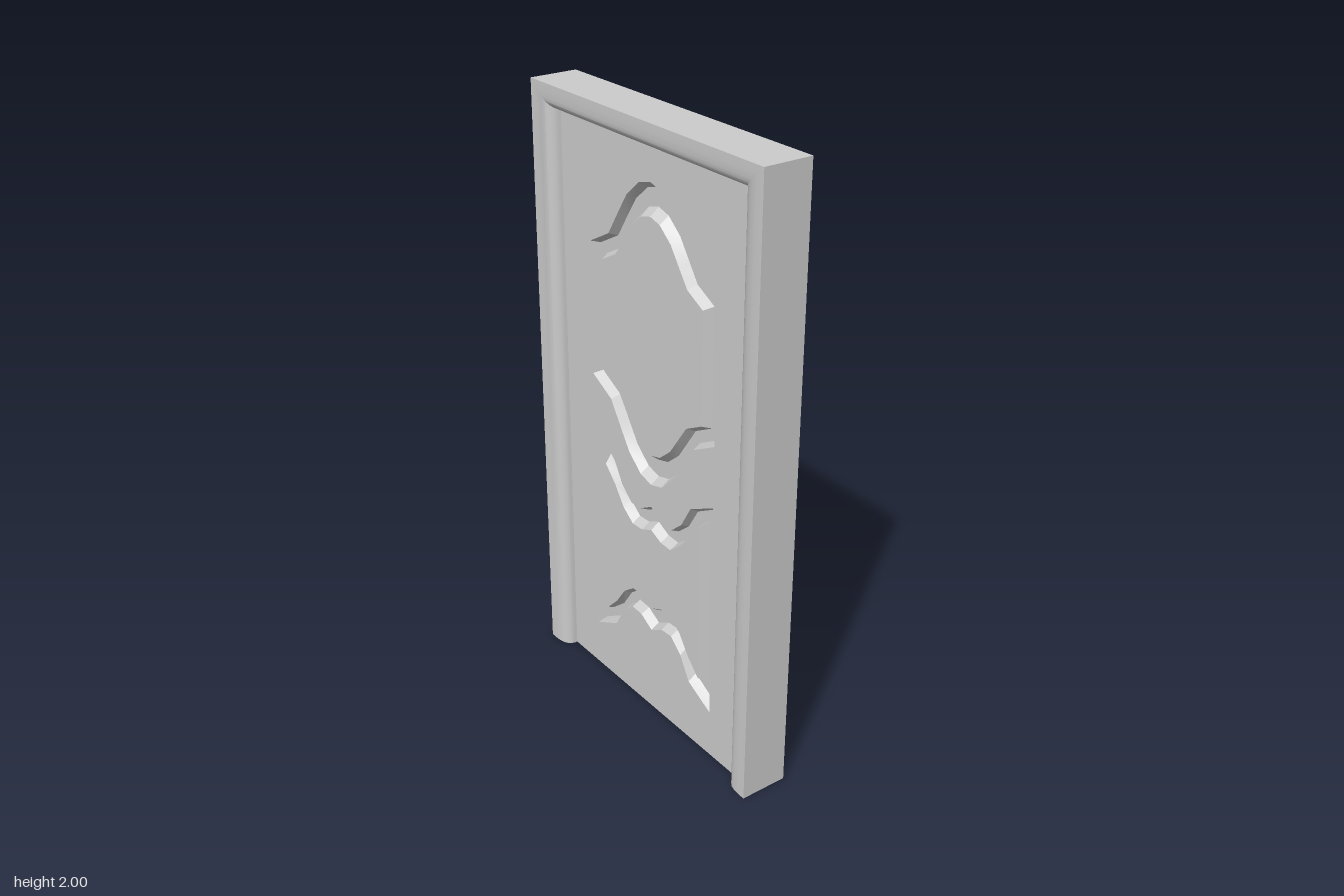
import * as THREE from 'three';
import { toCreasedNormals } from 'three/addons/utils/BufferGeometryUtils.js';

const HALF_W = 0.54, HEIGHT = 2, HALF_D = 0.08;
const JAMB = 0.09, HEAD = 0.08;          // frame width at the sides and on top
const PANEL_Z = 0.035, GROOVE_Z = 0.005; // door sheet and bottom of its grooves

const material = new THREE.MeshStandardMaterial({ color: 0xcccccc, side: THREE.DoubleSide });

function addMesh(parent, name, geometry) {
  const mesh = new THREE.Mesh(geometry, material);
  mesh.name = name;
  parent.add(mesh);
}

// Surface through rows of matching points
function loft(rows, closed, crease) {
  const pos = [];
  const n = rows[0].length;
  for (let r = 0; r < rows.length - 1; r++) {
    for (let i = 0; i < (closed ? n : n - 1); i++) {
      const j = (i + 1) % n;
      const a = rows[r][i], b = rows[r][j], c = rows[r + 1][j], d = rows[r + 1][i];
      pos.push(...a, ...b, ...c, ...a, ...c, ...d);
    }
  }
  const g = new THREE.BufferGeometry();
  g.setAttribute('position', new THREE.Float32BufferAttribute(pos, 3));
  g.computeVertexNormals();
  return toCreasedNormals(g, crease);
}

// Moulded frame: one section carried up, across and down with mitred corners
function frameGeometry() {
  const section = [ // [share of the frame width, z]
    [0, -HALF_D], [0, HALF_D], [0.3, HALF_D], [0.55, 0.078], [0.72, 0.074],
    [0.86, 0.066], [0.95, 0.056], [1, 0.045], [1, -HALF_D],
  ];
  const stations = [[-1, 0], [-1, 1], [1, 1], [1, 0]];
  const rows = stations.map(([side, top]) => section.map(([t, z]) =>
    [side * (HALF_W - t * JAMB), top * (HEIGHT - t * HEAD), z]));
  return loft(rows, true, 0.5);
}

// Full counter-clockwise outline from its upper right quarter (side to middle)
function mirrorOutline(quarter, midY) {
  const top = [...quarter, ...quarter.slice(0, -1).reverse().map(([x, y]) => [-x, y])];
  return [...top, ...top.map(([x, y]) => [-x, 2 * midY - y])];
}

const blend = (a, b, t) => a.map((p, i) => p.map((v, k) => v + (b[i][k] - v) * t));
const toShape = (pts) => new THREE.Shape(pts.map(([x, y]) => new THREE.Vector2(x, y)));

const ornaments = [
  {
    name: 'upperPanel', midY: 1.328,
    outer: [[0.308, 1.548], [0.21, 1.6], [0.165, 1.67], [0.115, 1.745], [0.055, 1.797], [0, 1.812]],
    inner: [[0.246, 1.508], [0.175, 1.545], [0.138, 1.597], [0.097, 1.655], [0.045, 1.698], [0, 1.71]],
  },
  {
    name: 'lowerPanel', midY: 0.535,
    outer: [[0.308, 0.906], [0.2, 0.852], [0.155, 0.775], [0.105, 0.732], [0.055, 0.735], [0, 0.766]],
    inner: [[0.246, 0.81], [0.195, 0.758], [0.15, 0.695], [0.1, 0.658], [0.05, 0.66], [0, 0.682]],
  },
];

export function createModel() {
  const model = new THREE.Group();
  model.name = 'door';
  addMesh(model, 'frame', frameGeometry());

  // Door sheet, with an opening for each ornament
  const x = HALF_W - JAMB, y = HEIGHT - HEAD;
  const sheet = toShape([[-x, 0], [x, 0], [x, y], [-x, y]]);

  for (const { name, midY, outer, inner } of ornaments) {
    const group = new THREE.Group();
    group.name = name;
    const a = mirrorOutline(outer, midY), b = mirrorOutline(inner, midY);
    sheet.holes.push(toShape(a));

    // Groove: sloping wall, floor, sloping wall
    const steps = [[0, PANEL_Z], [0.2, GROOVE_Z], [0.77, GROOVE_Z], [1, PANEL_Z]];
    const rows = steps.map(([t, z]) => blend(a, b, t).map(([px, py]) => [px, py, z]));
    addMesh(group, 'groove', loft(rows, true, 0.3));

    // Flat field inside the groove
    addMesh(group, 'field', new THREE.ShapeGeometry(toShape(b)).translate(0, 0, PANEL_Z));
    model.add(group);
  }
  addMesh(model, 'doorSheet', new THREE.ShapeGeometry(sheet).translate(0, 0, PANEL_Z));
  return model;
}
